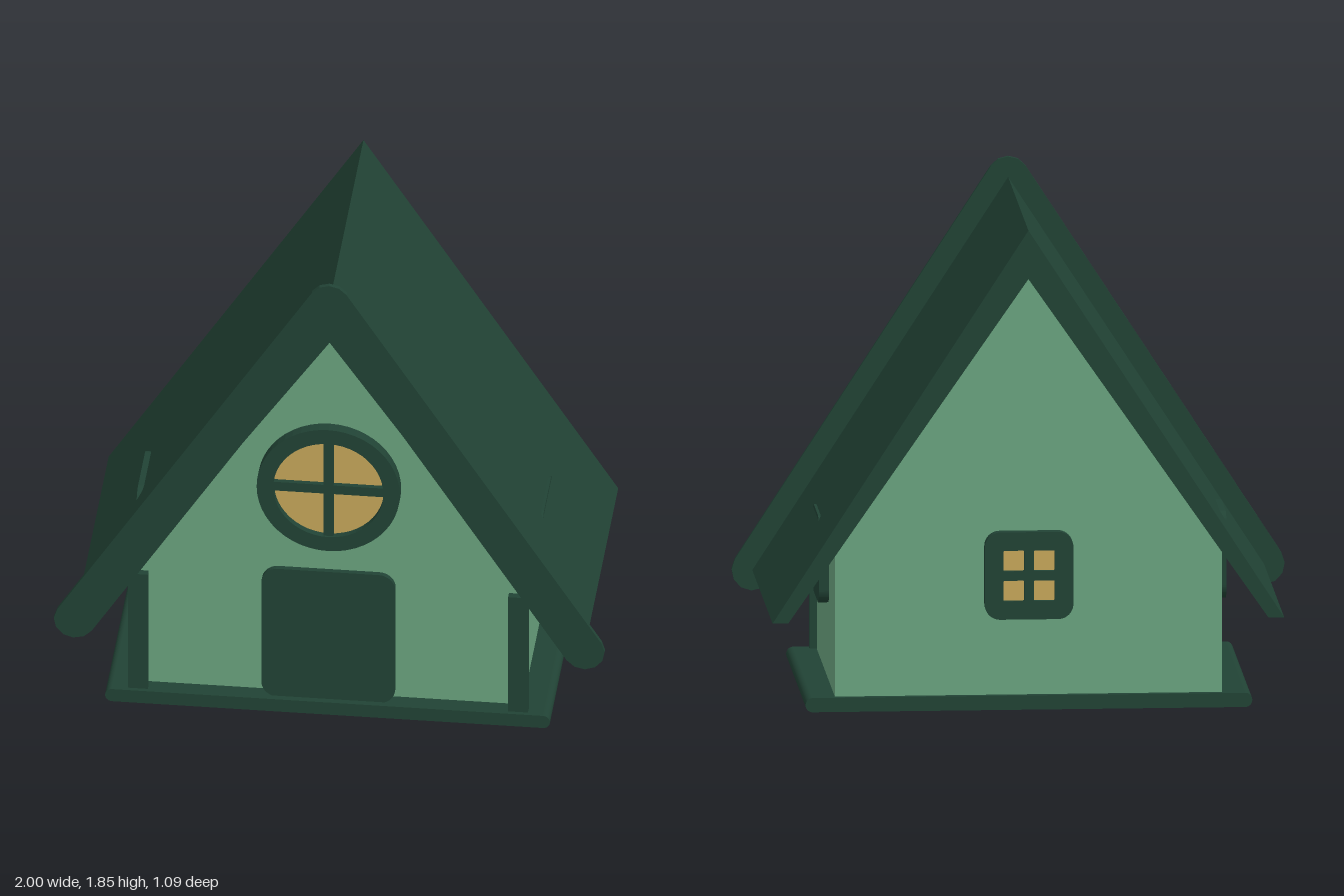
import * as THREE from 'three';

const wallGreen = new THREE.MeshStandardMaterial({ color: 0x6ba580 });
wallGreen.name = 'wall green';
const trimGreen = new THREE.MeshStandardMaterial({ color: 0x214335 });
trimGreen.name = 'trim dark green';
const glassGold = new THREE.MeshStandardMaterial({ color: 0xc9a95b });
glassGold.name = 'window gold';

const MID = -0.006; // the walls sit very slightly off centre

// Polygon from [x, y] pairs
const poly = (pts) => new THREE.Shape(pts.map(([x, y]) => new THREE.Vector2(x, y)));

// Rounded rectangle centred on (cx, cy)
function roundRect(cx, cy, w, h, r, ShapeType = THREE.Shape) {
  const s = new ShapeType();
  const a = w / 2 - r, b = h / 2 - r;
  s.absarc(cx + a, cy + b, r, 0, Math.PI / 2);
  s.absarc(cx - a, cy + b, r, Math.PI / 2, Math.PI);
  s.absarc(cx - a, cy - b, r, Math.PI, Math.PI * 1.5);
  s.absarc(cx + a, cy - b, r, Math.PI * 1.5, Math.PI * 2);
  s.closePath();
  return s;
}

// Shape extruded from z0 to z1
function slab(name, shape, z0, z1, material, curveSegments = 6) {
  const g = new THREE.ExtrudeGeometry(shape, { depth: z1 - z0, bevelEnabled: false, curveSegments });
  g.translate(0, 0, z0);
  const m = new THREE.Mesh(g, material);
  m.name = name;
  return m;
}

// Four-pane square window, facing +z with its back on z = 0
function squareWindow(name) {
  const group = new THREE.Group();
  group.name = name;
  const frame = roundRect(0, 0, 0.32, 0.32, 0.055);
  for (const x of [-1, 1]) for (const y of [-1, 1]) {
    frame.holes.push(roundRect(x * 0.055, y * 0.055, 0.075, 0.075, 0.004, THREE.Path));
  }
  group.add(slab('windowFrame', frame, -0.01, 0.037, trimGreen));
  group.add(slab('windowGlass', roundRect(0, 0, 0.22, 0.22, 0.01), 0.012, 0.02, glassGold));
  return group;
}

export function createModel() {
  const house = new THREE.Group();
  house.name = 'cabin';

  // Base plate with rounded side edges
  house.add(slab('basePlate', roundRect(MID, 0.028, 1.615, 0.052, 0.0255), -0.485, 0.546, trimGreen));

  // Walls with gables
  const walls = poly([[-0.7, 0], [0.7, 0], [0.7, 0.57], [0, 1.62], [-0.7, 0.57]]);
  const body = slab('walls', walls, -0.46, 0.478, wallGreen);
  body.position.x = MID;
  house.add(body);

  // Roof shell
  const roof = poly([[0.925, 0.34], [0, 1.77], [-0.925, 0.34], [-0.868, 0.34], [0, 1.592], [0.868, 0.34]]);
  house.add(slab('roof', roof, -0.545, 0.53, trimGreen));

  // Front gable trim: a rounded band along the roof line
  const R = 0.075, lean = Math.atan2(0.925, 1.43), pts = [];
  const arc = (cx, cy, from, to, n) => {
    for (let i = 0; i <= n; i++) {
      const t = from + ((to - from) * i) / n;
      pts.push([cx + R * Math.cos(t), cy + R * Math.sin(t)]);
    }
  };
  arc(0, 1.77, lean, Math.PI - lean, 4);
  arc(-0.925, 0.34, Math.PI - lean, 2 * Math.PI - lean, 6);
  pts.push([0, 1.77 - R / Math.sin(lean)]);
  arc(0.925, 0.34, Math.PI + lean, 2 * Math.PI + lean, 6);
  house.add(slab('gableTrim', poly(pts), 0.528, 0.545, trimGreen));

  // Corner posts
  for (const side of [-1, 1]) {
    const post = new THREE.Mesh(new THREE.BoxGeometry(0.072, 0.495, 0.028), trimGreen);
    post.name = side > 0 ? 'leftPost' : 'rightPost';
    post.position.set(MID + side * 0.69, 0.2975, 0.516);
    house.add(post);
  }

  // Door
  house.add(slab('door', roundRect(MID, 0.325, 0.485, 0.55, 0.06), 0.502, 0.522, trimGreen));

  // Round window with cross bars
  const round = new THREE.Group();
  round.name = 'roundWindow';
  round.position.set(MID, 0.95, 0);
  const ring = new THREE.Shape().absarc(0, 0, 0.26, 0, Math.PI * 2);
  ring.holes.push(new THREE.Path().absarc(0, 0, 0.2, 0, Math.PI * 2, true));
  round.add(slab('roundFrame', ring, 0.47, 0.522, trimGreen, 24));
  const disc = new THREE.Shape().absarc(0, 0, 0.205, 0, Math.PI * 2);
  round.add(slab('roundGlass', disc, 0.488, 0.496, glassGold, 24));
  for (const [w, h] of [[0.41, 0.037], [0.037, 0.41]]) {
    const bar = new THREE.Mesh(new THREE.BoxGeometry(w, h, 0.025), trimGreen);
    bar.name = 'crossBar';
    bar.position.z = 0.502;
    round.add(bar);
  }
  house.add(round);

  // Square windows on the back and both sides
  const back = squareWindow('backWindow');
  back.position.set(MID, 0.495, -0.46);
  back.rotation.y = Math.PI;
  house.add(back);
  for (const side of [-1, 1]) {
    const win = squareWindow(side > 0 ? 'leftWindow' : 'rightWindow');
    win.position.set(MID + side * 0.7, 0.495, 0.005);
    win.rotation.y = side * Math.PI / 2;
    house.add(win);
  }

  return house;
}
